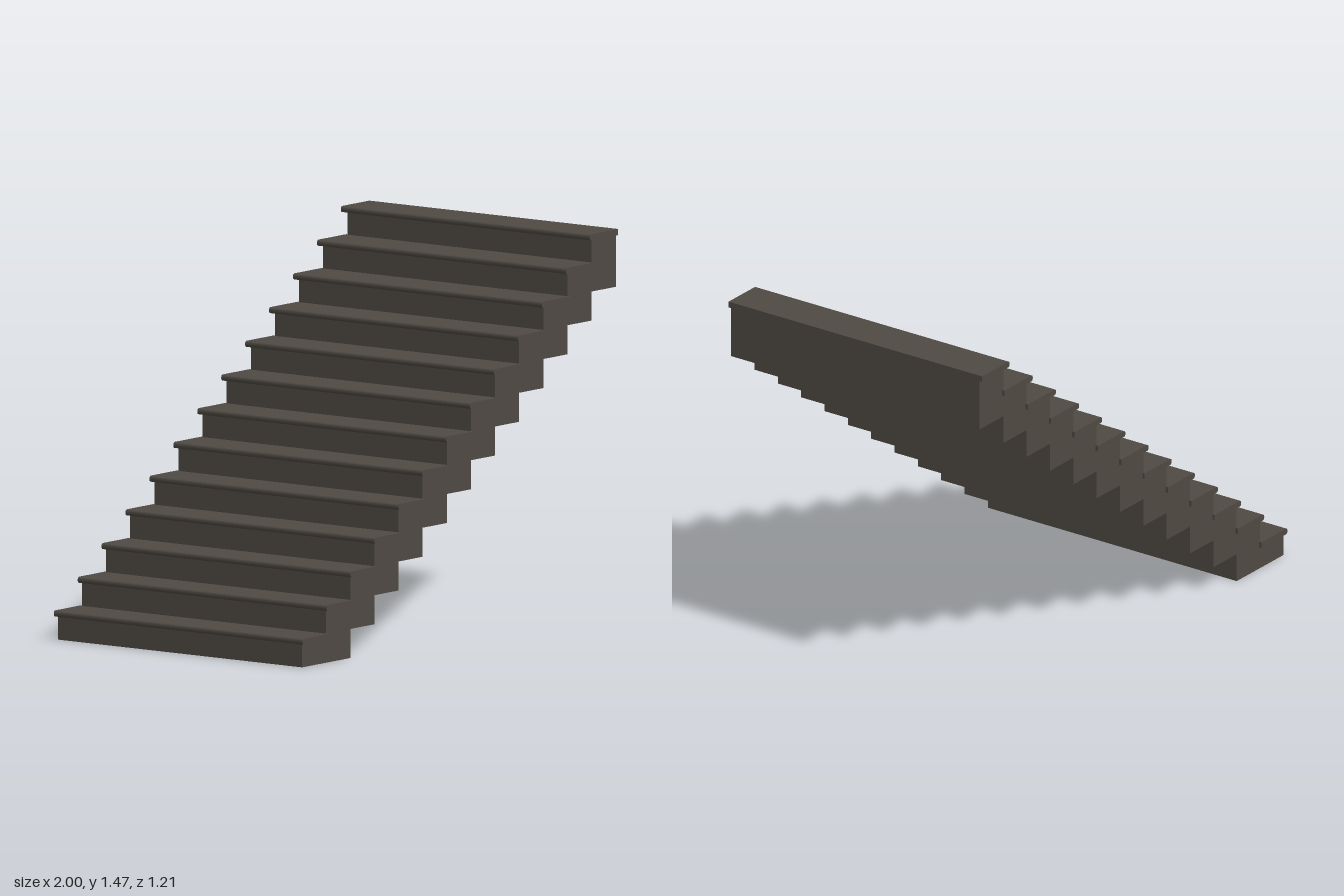
import * as THREE from 'three';

const STEPS = 13;
const RISE = 1.47 / STEPS;
const RUN = 0.1529;
const THICK = 0.024; // tread thickness
const BODY_X = -0.989;
const BODY_HALF = 0.592;
const TREAD_HALF = 0.603;

// Extrude an x-y outline along z, centred on z = 0
function extrudeCentred(shape, half) {
  const geometry = new THREE.ExtrudeGeometry(shape, { depth: half * 2, bevelEnabled: false, curveSegments: 4 });
  return geometry.translate(0, 0, -half);
}

// Tread outline with a rounded nosing on its left edge
function treadShape(x0, x1, top) {
  const r = THICK * 0.45;
  const bottom = top - THICK;
  const s = new THREE.Shape();
  s.moveTo(x1, bottom);
  s.lineTo(x1, top);
  s.lineTo(x0 + r, top);
  s.quadraticCurveTo(x0, top, x0, top - r);
  s.lineTo(x0, bottom + r);
  s.quadraticCurveTo(x0, bottom, x0 + r, bottom);
  s.closePath();
  return s;
}

export function createModel() {
  const model = new THREE.Group();
  model.name = 'staircase';
  const stone = new THREE.MeshStandardMaterial({ color: 0x4f4a43 });
  stone.name = 'darkStone';

  const riserX = (k) => BODY_X + k * RUN;

  // Stepped body: up along the risers, back down along the stepped underside
  const outline = new THREE.Shape();
  outline.moveTo(riserX(0), 0);
  for (let k = 0; k < STEPS; k++) {
    const y = (k + 1) * RISE - THICK;
    outline.lineTo(riserX(k), y);
    outline.lineTo(k === STEPS - 1 ? 1 : riserX(k + 1), y);
  }
  for (let k = STEPS - 1; k >= 1; k--) {
    const y = (k - 1) * RISE;
    outline.lineTo(k === STEPS - 1 ? 1 : riserX(k + 1), y);
    if (k > 1) outline.lineTo(riserX(k), y);
  }
  outline.closePath();
  const body = new THREE.Mesh(extrudeCentred(outline, BODY_HALF), stone);
  body.name = 'steppedBody';
  model.add(body);

  // Treads, slightly wider than the body and overhanging each riser
  for (let k = 0; k < STEPS; k++) {
    const x0 = -1 + k * 0.1516;
    const x1 = Math.min(1, riserX(k + 1) + 0.007);
    const tread = new THREE.Mesh(extrudeCentred(treadShape(x0, x1, (k + 1) * RISE), TREAD_HALF), stone);
    tread.name = `tread${k + 1}`;
    model.add(tread);
  }
  return model;
}
